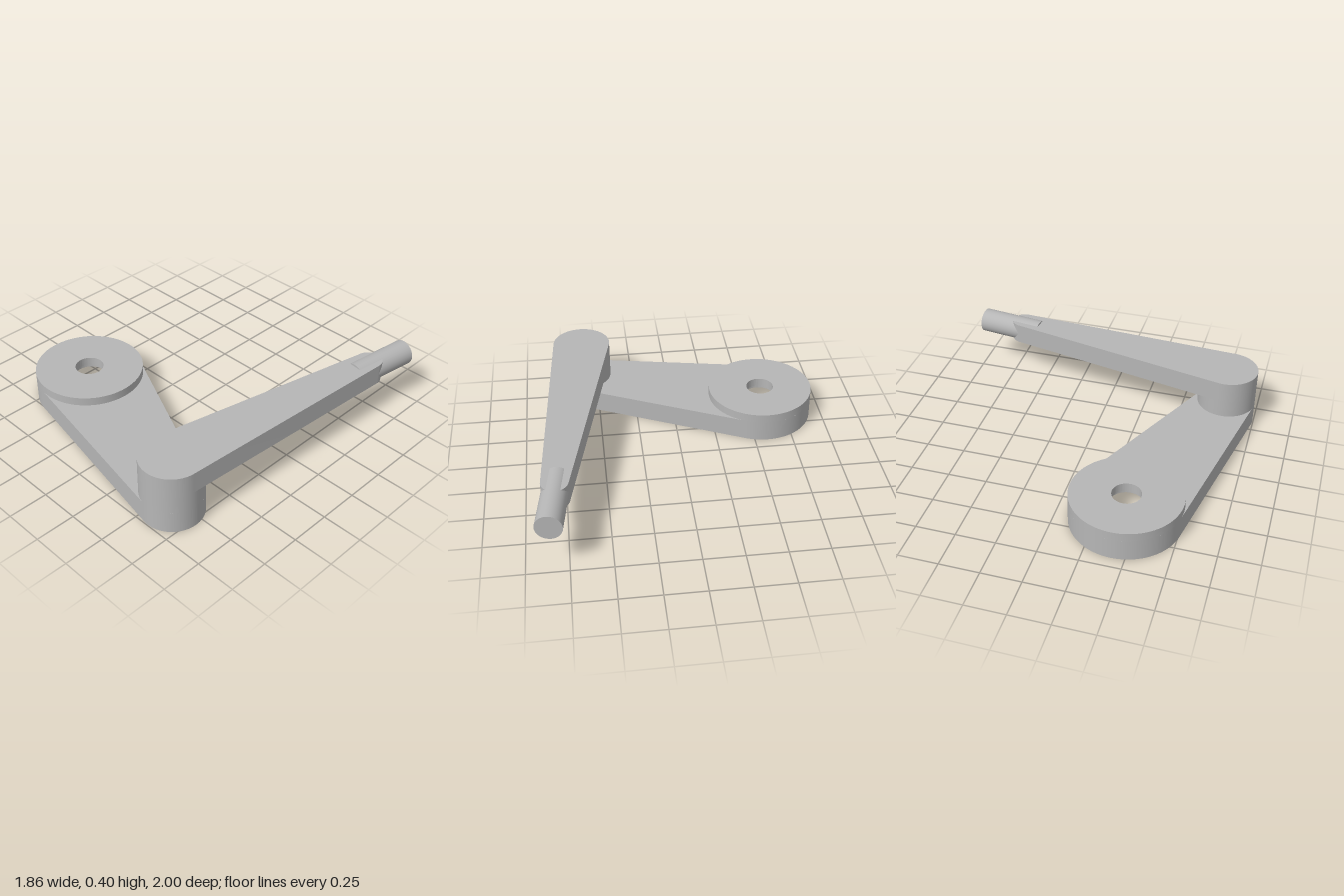
import * as THREE from 'three';
import { toCreasedNormals } from 'three/addons/utils/BufferGeometryUtils.js';

const hub = { x: -0.585, z: 0.42, r: 0.345 };
const pivot = { x: 0.595, z: 0.805, r: 0.19 };
const tip = { x: 0.805, z: -0.685, r: 0.081 };
const PLATE = 0.14, ARM_BOTTOM = 0.255, TOP = 0.39;

// Flat link whose outline wraps two circles with tangent lines
function linkGeometry(a, b, y0, y1, holeRadius) {
  const dx = b.x - a.x, dy = a.z - b.z;
  const t = Math.atan2(dy, dx);
  const h = Math.acos((a.r - b.r) / Math.hypot(dx, dy));
  const shape = new THREE.Shape();
  shape.absarc(a.x, -a.z, a.r, t + h, t - h + Math.PI * 2, false);
  shape.absarc(b.x, -b.z, b.r, t - h, t + h, false);
  shape.closePath();
  if (holeRadius) {
    const hole = new THREE.Path();
    hole.absarc(a.x, -a.z, holeRadius, 0, Math.PI * 2, true);
    shape.holes.push(hole);
  }
  const geo = new THREE.ExtrudeGeometry(shape, { depth: y1 - y0, bevelEnabled: false, curveSegments: 64 });
  geo.rotateX(-Math.PI / 2).translate(0, y0, 0);
  return toCreasedNormals(geo, 0.5);
}

export function createModel() {
  const model = new THREE.Group();
  const metal = new THREE.MeshStandardMaterial({ color: 0xb6b6b6 });
  metal.name = 'grey metal';
  const add = (name, geo) => {
    const mesh = new THREE.Mesh(geo, metal);
    mesh.name = name;
    model.add(mesh);
    return mesh;
  };

  // Lower link with the round recess under the hub
  add('lowerArm', linkGeometry(hub, pivot, 0, PLATE, 0.29));

  // Hub cap with a stepped bore, closing the recess from above
  const profile = [
    [0.105, 0.115], [0.29, 0.115], [0.29, PLATE], [hub.r, PLATE], [hub.r, 0.195],
    [0.09, 0.195], [0.09, PLATE], [0.105, PLATE], [0.105, 0.115],
  ].map(([x, y]) => new THREE.Vector2(x, y));
  add('hubCap', toCreasedNormals(new THREE.LatheGeometry(profile, 96), 0.5))
    .position.set(hub.x, 0, hub.z);

  // Post joining the two links
  add('pivotPost', new THREE.CylinderGeometry(pivot.r, pivot.r, ARM_BOTTOM - PLATE, 96))
    .position.set(pivot.x, (ARM_BOTTOM + PLATE) / 2, pivot.z);

  // Upper link tapering to the pin
  add('upperArm', linkGeometry(pivot, tip, ARM_BOTTOM, TOP));

  // Round pin lying along the upper link
  const dir = new THREE.Vector3(tip.x - pivot.x, 0, tip.z - pivot.z).normalize();
  const pin = add('endPin', new THREE.CylinderGeometry(0.08, 0.08, 0.43, 64));
  pin.quaternion.setFromUnitVectors(new THREE.Vector3(0, 1, 0), dir);
  pin.position.set(pivot.x, 0.322, pivot.z).addScaledVector(dir, 1.597);

  return model;
}
